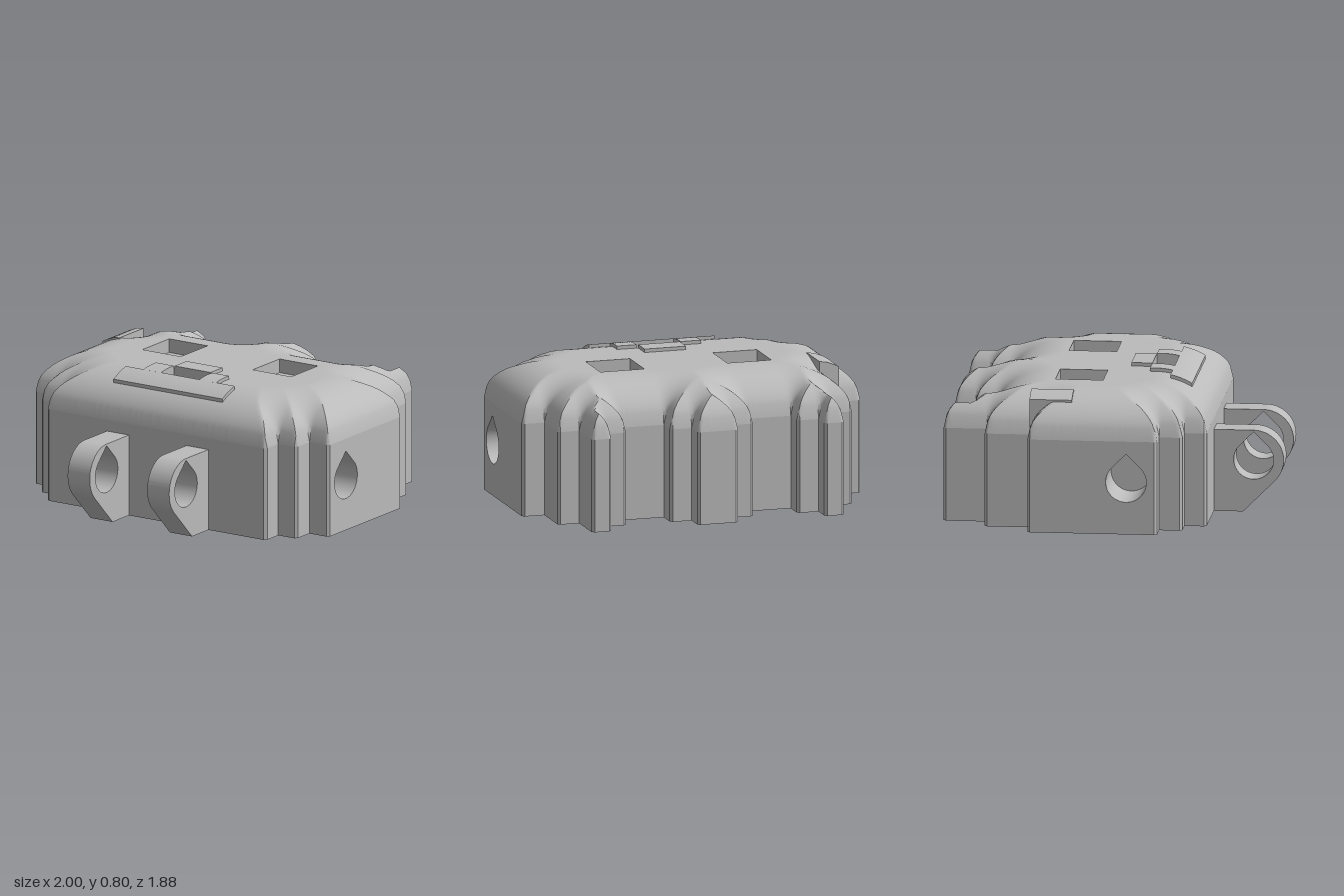
import * as THREE from 'three';
import { toCreasedNormals } from 'three/addons/utils/BufferGeometryUtils.js';

const C = 0.015;                              // corner chamfer
const WALL = 0.535, RISE = 0.243, ROUND = 0.34; // wall height and edge rounding

// stepped outline (x, z), right half from back to front, then mirrored
const half = [[.12, -.94], [.12, -.82], [.245, -.82], [.245, -.695], [.505, -.695], [.505, -.82],
  [.63, -.82], [.63, -.94], [.745, -.94], [.745, -.695], [.87, -.695], [.87, -.44], [1, -.44],
  [1, .295], [.87, .295], [.87, .425], [.745, .425], [.745, .55]];
const corners = [...half, ...half.map(([x, z]) => [-x, z]).reverse()];

// chamfer the outer corners
const key = (x, z) => `${x.toFixed(3)},${z.toFixed(3)}`;
const pulled = new Map();
const outline = [];
corners.forEach((b, i) => {
  const n = corners.length, a = corners[(i + n - 1) % n], c = corners[(i + 1) % n];
  const d1 = [Math.sign(b[0] - a[0]), Math.sign(b[1] - a[1])];
  const d2 = [Math.sign(c[0] - b[0]), Math.sign(c[1] - b[1])];
  if (d1[0] * d2[1] - d1[1] * d2[0] > 0) {
    const p = [b[0] - d1[0] * C, b[1] - d1[1] * C], q = [b[0] + d2[0] * C, b[1] + d2[1] * C];
    outline.push(p, q);
    pulled.set(key(...b), [(p[0] + q[0]) / 2, (p[1] + q[1]) / 2]);
  } else outline.push(b);
});

// distance to the outline, and the rounded top height that follows from it
function edgeDistance(x, z) {
  let best = Infinity;
  outline.forEach(([ax, az], i) => {
    const [bx, bz] = outline[(i + 1) % outline.length];
    const dx = bx - ax, dz = bz - az;
    const t = Math.min(1, Math.max(0, ((x - ax) * dx + (z - az) * dz) / (dx * dx + dz * dz)));
    best = Math.min(best, Math.hypot(x - ax - t * dx, z - az - t * dz));
  });
  return best;
}
function height(x, z) {
  const k = 1 - Math.min(1, edgeDistance(x, z) / ROUND);
  return WALL + RISE * Math.sqrt(1 - k * k);
}
function inside(x, z) {
  let hit = false;
  corners.forEach(([ax, az], i) => {
    const [bx, bz] = corners[(i + 1) % corners.length];
    if ((az > z) !== (bz > z) && x < ax + (z - az) / (bz - az) * (bx - ax)) hit = !hit;
  });
  return hit;
}

// recesses in the top: x0, x1, z0, z1
const pockets = {
  rightEye: [-.505, -.245, -.33, -.06], leftEye: [.245, .505, -.33, -.06], mouth: [-.13, .13, .18, .31]
};

function gridLines(axis) {
  const marks = new Set();
  const add = v => marks.add(Math.round(v * 1000) / 1000);
  corners.forEach(p => [-C, 0, C].forEach(o => add(p[axis] + o)));
  Object.values(pockets).forEach(p => { add(p[axis * 2]); add(p[axis * 2 + 1]); });
  const s = [...marks].sort((a, b) => a - b), out = [s[0]];
  for (let i = 1; i < s.length; i++) {
    const gap = s[i] - s[i - 1], n = Math.ceil(gap / (C + 0.001));
    for (let k = 1; k <= n; k++) out.push(s[i - 1] + gap * k / n);
  }
  return out;
}

function fromTriangles(pos) {
  const g = new THREE.BufferGeometry();
  g.setAttribute('position', new THREE.Float32BufferAttribute(pos, 3));
  g.computeVertexNormals();
  return g;
}

function domeGeometry() {
  const xs = gridLines(0), zs = gridLines(1), pos = [];
  const pts = xs.map(x => zs.map(z => {
    const [px, pz] = pulled.get(key(x, z)) || [x, z];
    return [px, height(px, pz), pz];
  }));
  for (let i = 0; i < xs.length - 1; i++) for (let j = 0; j < zs.length - 1; j++) {
    const x = (xs[i] + xs[i + 1]) / 2, z = (zs[j] + zs[j + 1]) / 2;
    if (!inside(x, z)) continue;
    if (Object.values(pockets).some(p => x > p[0] && x < p[1] && z > p[2] && z < p[3])) continue;
    const a = pts[i][j], b = pts[i][j + 1], c = pts[i + 1][j + 1], d = pts[i + 1][j];
    // split each cell along its ridge
    if (a[1] + c[1] > b[1] + d[1]) pos.push(...a, ...b, ...c, ...a, ...c, ...d);
    else pos.push(...a, ...b, ...d, ...b, ...c, ...d);
  }
  return toCreasedNormals(fromTriangles(pos), 0.6);
}

// quads between two matching closed loops of 3D points
function ribbon(low, high, skip = () => false) {
  const pos = [];
  low.forEach((p, i) => {
    const j = (i + 1) % low.length;
    if (skip(p, low[j])) return;
    pos.push(...low[j], ...p, ...high[i], ...low[j], ...high[i], ...high[j]);
  });
  return toCreasedNormals(fromTriangles(pos), 0.5);
}

// round hole with a pointed roof
function teardrop(cx, cy, r) {
  const p = new THREE.Path();
  p.absarc(cx, cy, r, Math.PI * .75, Math.PI * 2.25, false);
  p.lineTo(cx, cy + r * Math.SQRT2);
  p.closePath();
  return p;
}

export function createModel() {
  const model = new THREE.Group();
  const grey = new THREE.MeshStandardMaterial({ color: 0xbbbbbb, side: THREE.DoubleSide });
  grey.name = 'plain grey';
  const add = (name, geometry) => {
    const m = new THREE.Mesh(geometry, grey);
    m.name = name;
    model.add(m);
    return m;
  };

  // body: rounded top, stepped walls, flat base
  add('roundedTop', domeGeometry());
  const isSide = (p, q) => Math.abs(p[0]) > .999 && Math.abs(q[0]) > .999;
  add('walls', ribbon(outline.map(([x, z]) => [x, 0, z]), outline.map(([x, z]) => [x, WALL, z]), isSide));
  const base = new THREE.Shape(outline.map(([x, z]) => new THREE.Vector2(x, z)));
  add('base', new THREE.ShapeGeometry(base).rotateX(Math.PI / 2));

  // side walls with blind pin holes
  for (const s of [1, -1]) {
    const side = s > 0 ? 'left' : 'right';
    const z0 = -.44 + C, z1 = .295 - C;
    const panel = new THREE.Shape([[z0, 0], [z1, 0], [z1, WALL], [z0, WALL]].map(([z, y]) => new THREE.Vector2(-s * z, y)));
    const hole = teardrop(-s * .12, .3, .115);
    panel.holes.push(hole);
    const turn = s * Math.PI / 2;
    add(side + 'SideWall', new THREE.ShapeGeometry(panel, 24).rotateY(turn).translate(s, 0, 0));
    const rim = hole.getPoints(24).slice(0, -1);
    const ring = depth => rim.map(p => [p.x, p.y, -depth]);
    add(side + 'PinHole', ribbon(ring(0), ring(.3)).rotateY(turn).translate(s, 0, 0));
    add(side + 'PinHoleEnd', new THREE.ShapeGeometry(new THREE.Shape(rim)).rotateY(turn).translate(s * .7, 0, 0));
  }

  // eye and mouth recesses
  for (const [name, [x0, x1, z0, z1]] of Object.entries(pockets)) {
    const floor = WALL + RISE - .08;
    const loop = [[x0, z0], [x0, z1], [x1, z1], [x1, z0]];
    add(name + 'Recess', ribbon(loop.map(([x, z]) => [x, floor, z]), loop.map(([x, z]) => [x, height(x, z), z])));
    add(name + 'Floor', new THREE.PlaneGeometry(x1 - x0, z1 - z0).rotateX(-Math.PI / 2)
      .translate((x0 + x1) / 2, floor, (z0 + z1) / 2));
  }

  // raised plates that follow the rounded top
  function plate(name, x0, x1, z0, z1, top = (x, z) => height(x, z) + .02) {
    const g = new THREE.BoxGeometry(x1 - x0, 1, z1 - z0, 8, 1, 8);
    g.translate((x0 + x1) / 2, 0, (z0 + z1) / 2);
    const p = g.attributes.position;
    for (let i = 0; i < p.count; i++) {
      const x = p.getX(i), z = p.getZ(i);
      p.setY(i, p.getY(i) > 0 ? top(x, z) : height(x, z) - .03);
    }
    add(name, toCreasedNormals(g, 0.5));
  }
  plate('nose', -.125, .12, .06, .18);
  plate('mouthRightStep', -.25, -.13, .18, .31);
  plate('mouthLeftStep', .13, .245, .18, .31);
  plate('mouthBar', -.37, .37, .307, .43);
  plate('browMark', -.87, -.755, -.44, -.2, x => height(x, -.25) + .012);

  // hinge lugs at the front
  const lug = new THREE.Shape();
  lug.moveTo(.54, 0);
  lug.lineTo(.715, 0);
  lug.absarc(.775, .3, .17, -Math.PI / 4, Math.PI / 2, false);
  lug.lineTo(.54, .47);
  lug.closePath();
  lug.holes.push(teardrop(.775, .3, .113));
  const lugGeometry = toCreasedNormals(
    new THREE.ExtrudeGeometry(lug, { depth: .15, bevelEnabled: false, curveSegments: 24 }).rotateY(-Math.PI / 2), 0.5);
  add('rightHingeLug', lugGeometry).position.x = -.185;
  add('leftHingeLug', lugGeometry).position.x = .355;

  return model;
}
